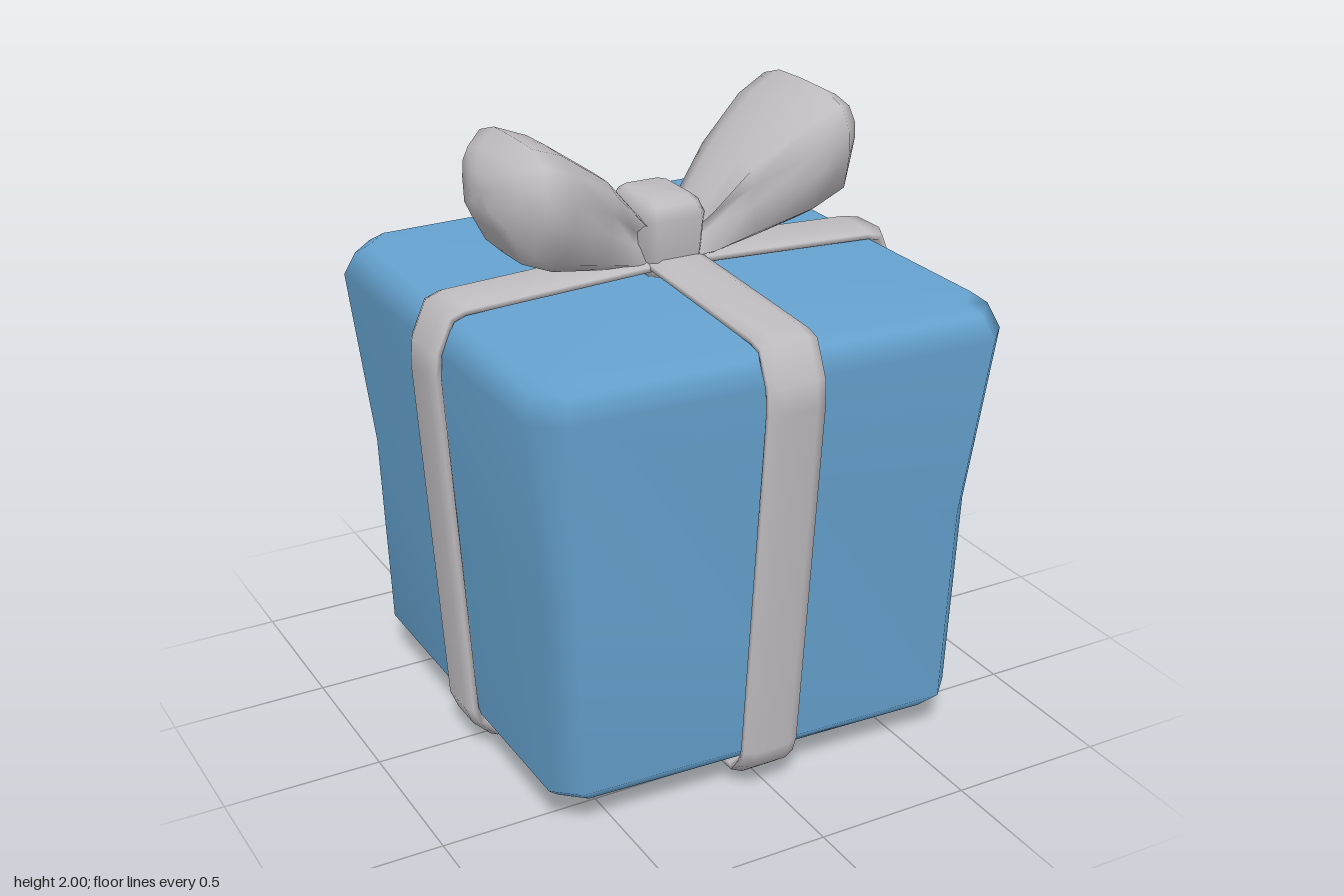
import * as THREE from 'three';

const boxBlue = new THREE.MeshStandardMaterial({ color: 0x66a3d0 });
boxBlue.name = 'boxBlue';
const ribbonGrey = new THREE.MeshStandardMaterial({ color: 0xc0bdc0 });
ribbonGrey.name = 'ribbonGrey';

// Skin a list of equal-length rings of [x, y, z]; either cap the ends or join last to first.
function loft(rings, closed = false) {
  const n = rings[0].length, m = rings.length;
  const pos = rings.flat(2), idx = [];
  for (let i = 0; i < (closed ? m : m - 1); i++) {
    for (let j = 0; j < n; j++) {
      const a = i * n + j, b = i * n + (j + 1) % n;
      const k = ((i + 1) % m) * n, c = k + j, d = k + (j + 1) % n;
      idx.push(a, b, d, a, d, c);
    }
  }
  if (!closed) {
    for (const [ring, start, flip] of [[rings[0], 0, true], [rings[m - 1], (m - 1) * n, false]]) {
      const centre = pos.length / 3;
      for (let k = 0; k < 3; k++) pos.push(ring.reduce((s, p) => s + p[k], 0) / n);
      for (let j = 0; j < n; j++) {
        const a = start + j, b = start + (j + 1) % n;
        if (flip) idx.push(b, a, centre); else idx.push(a, b, centre);
      }
    }
  }
  // Turn every face outward if the enclosed volume is negative
  const v = i => new THREE.Vector3().fromArray(pos, i * 3);
  let volume = 0;
  for (let i = 0; i < idx.length; i += 3) volume += v(idx[i]).dot(v(idx[i + 1]).cross(v(idx[i + 2])));
  if (volume < 0) idx.reverse();
  const g = new THREE.BufferGeometry();
  g.setAttribute('position', new THREE.Float32BufferAttribute(pos, 3));
  g.setIndex(idx);
  g.computeVertexNormals();
  return g;
}

function part(name, geometry, material) {
  const mesh = new THREE.Mesh(geometry, material);
  mesh.name = name;
  return mesh;
}

// Flat bevelled band around a closed outline of outer points [u, y];
// place(u, y, w) maps outline and width coordinates to space.
function band(outline, place) {
  const half = 0.093, thick = 0.046, bevel = 0.035;
  const section = [[-half + bevel, 0], [half - bevel, 0], [half, 0.32], [half, 0.68],
    [half - bevel, 1], [-half + bevel, 1], [-half, 0.68], [-half, 0.32]];
  const pts = outline.map(p => new THREE.Vector2(...p));
  const rings = pts.map((p, i) => {
    const prev = pts[(i + pts.length - 1) % pts.length], next = pts[(i + 1) % pts.length];
    const d1 = p.clone().sub(prev).normalize(), d2 = next.clone().sub(p).normalize();
    const t = d1.clone().add(d2).normalize();
    const inset = thick / Math.max(0.6, t.dot(d1));
    // outline runs clockwise, so inward is to the right of travel
    return section.map(([w, d]) => place(p.x + t.y * d * inset, p.y - t.x * d * inset, w));
  });
  return loft(rings, true);
}

// Puffed bow lobe: stations run from the knot to the tip, pinched near the knot.
function lobe(side, droop, shift) {
  const profile = [[0, 0], [0.5, 0.01], [0.8, 0.13], [0.96, 0.45], [1, 0.68], [0.87, 0.9], [0.5, 0.99], [0, 1]];
  const loop = [...profile, ...profile.slice(1, -1).reverse().map(([z, v]) => [-z, v])];
  // bottom x, bottom y, top x, top y, half depth, pinch
  const stations = [
    [0.05, 1.51, 0.05, 1.62, 0.11, 0.3],
    [0.13, 1.515, 0.11, 1.68, 0.13, 0.45],
    [0.25, 1.55, 0.22, 1.82, 0.175, 0.8],
    [0.42, 1.605, 0.38, 1.95, 0.238, 1],
    [0.52, 1.66, 0.48, 2.0, 0.253, 1],
    [0.575, 1.76, 0.545, 1.965, 0.19, 1],
    [0.59, 1.81, 0.58, 1.91, 0.08, 1],
  ];
  return loft(stations.map(([bx, by, tx, ty, depth, pinch]) => loop.map(([z, v]) => {
    const x = bx + (tx - bx) * v, y = by + (ty - by) * v;
    const p = v > 0.3 && v < 0.75 ? pinch : 1;
    return [side * x, y - droop * (x - 0.05) / 0.5, z * depth * p + shift];
  })));
}

export function createModel() {
  const model = new THREE.Group();
  model.name = 'giftBox';

  // Box body: slightly crooked chamfered square, flaring towards the top
  const plan = [[-0.775, -0.66], [-0.69, -0.75], [0.69, -0.79], [0.757, -0.72],
    [0.762, 0.7], [0.68, 0.785], [-0.69, 0.735], [-0.775, 0.66]];
  const levels = [[0.1, 0.84], [0.15, 0.9], [0.8, 0.925], [1.37, 1], [1.445, 0.96], [1.475, 0.91]];
  model.add(part('boxBody', loft(levels.map(([y, s]) => plan.map(([x, z]) => [x * s, y, z * s]))), boxBlue));

  // Ribbon running left to right
  const sideways = [[-0.735, 0.16], [-0.81, 1.3], [-0.803, 1.38], [-0.755, 1.49], [-0.7, 1.51], [-0.1, 1.535],
    [0.1, 1.535], [0.69, 1.508], [0.75, 1.495], [0.797, 1.38], [0.803, 1.3], [0.735, 0.17],
    [0.715, 0.1], [0.67, 0.052], [0, 0.046], [-0.65, 0.042], [-0.71, 0.1]];
  model.add(part('sidewaysRibbon', band(sideways, (u, y, w) => [u, y, w + 0.018]), ribbonGrey));

  // Ribbon running front to back, dipping under the other one below
  const lengthways = [[-0.725, 0.16], [-0.81, 1.3], [-0.803, 1.38], [-0.755, 1.495], [-0.7, 1.51], [-0.12, 1.54],
    [0.12, 1.54], [0.69, 1.51], [0.75, 1.495], [0.803, 1.38], [0.81, 1.3], [0.73, 0.16],
    [0.71, 0.1], [0.65, 0.052], [0.27, 0.04], [0.1, 0.006], [-0.08, 0.003], [-0.25, 0.036], [-0.64, 0.042], [-0.7, 0.1]];
  model.add(part('lengthwaysRibbon',
    band(lengthways, (u, y, w) => [w - 0.015 + 0.015 * Math.min(1, y / 1.4), y, u]), ribbonGrey));

  // Bow: two lobes and a knot
  const bow = new THREE.Group();
  bow.name = 'bow';
  bow.add(part('leftBowLobe', lobe(1, 0, 0.016), ribbonGrey));
  bow.add(part('rightBowLobe', lobe(-1, 0.06, -0.004), ribbonGrey));
  const knotPlan = [[-1, -0.75], [-0.75, -1], [0.75, -1], [1, -0.75], [1, 0.75], [0.75, 1], [-0.75, 1], [-1, 0.75]];
  const knotLevels = [[1.47, 0.07, 0.1], [1.5, 0.09, 0.13], [1.66, 0.103, 0.143], [1.7, 0.09, 0.12], [1.717, 0.07, 0.095]];
  bow.add(part('knot', loft(knotLevels.map(([y, w, d]) =>
    knotPlan.map(([x, z]) => [x * w - 0.005, y, z * d - 0.01]))), ribbonGrey));
  model.add(bow);
  return model;
}
